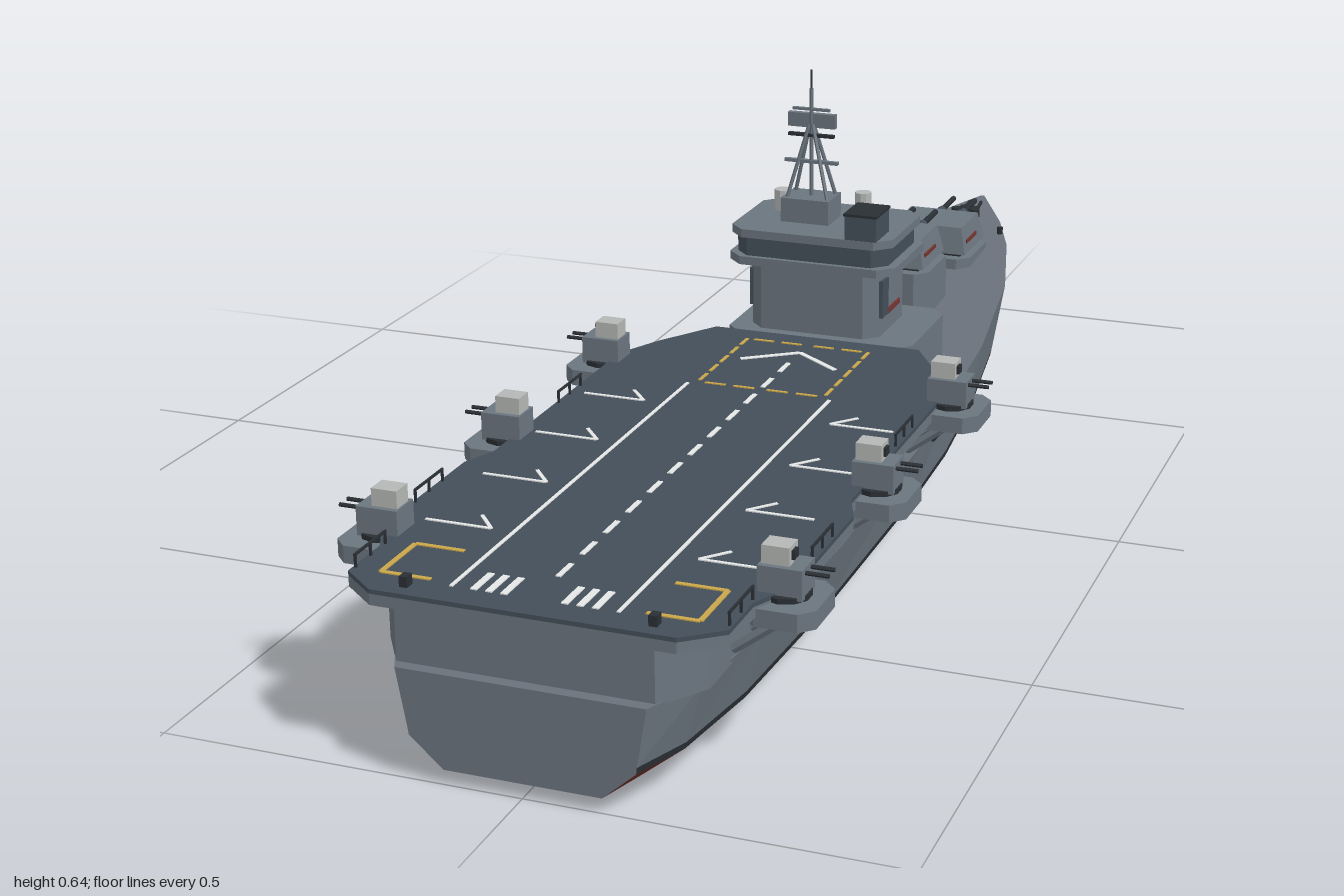
import * as THREE from 'three';

const mat = (name, color) => {
  const m = new THREE.MeshStandardMaterial({ color, flatShading: true });
  m.name = name;
  return m;
};

export function createModel() {
  const M = {
    grey: mat('hull grey', 0x6b757f), deck: mat('weather deck grey', 0x69717a),
    dark: mat('flight deck slate', 0x434e59), red: mat('antifouling red', 0x74342f),
    black: mat('fittings black', 0x2a2f34), light: mat('pale grey', 0xb4b7b5),
    white: mat('marking white', 0xe6e8e8), yellow: mat('marking yellow', 0xc9a64a),
  };
  const ship = new THREE.Group();
  ship.name = 'carrier';

  const add = (name, geo, m, parent = ship) => {
    const mesh = new THREE.Mesh(geo, m);
    mesh.name = name;
    parent.add(mesh);
    return mesh;
  };
  const box = (name, m, x, y, z, w, h, d, parent) => {
    const b = add(name, new THREE.BoxGeometry(w, h, d), m, parent);
    b.position.set(x, y, z);
    return b;
  };
  const cyl = (name, m, x, y, z, r, h, parent, sides = 10) => {
    const c = add(name, new THREE.CylinderGeometry(r, r, h, sides), m, parent);
    c.position.set(x, y, z);
    return c;
  };
  const bar = (name, m, a, b, r, parent) => {
    const p = new THREE.Vector3(...a), q = new THREE.Vector3(...b);
    const c = add(name, new THREE.CylinderGeometry(r, r, p.distanceTo(q), 6), m, parent);
    c.position.copy(p).lerp(q, 0.5);
    c.quaternion.setFromUnitVectors(new THREE.Vector3(0, 1, 0), q.sub(p).normalize());
    return c;
  };
  // Vertical prism from an x, z outline
  const prism = (name, m, outline, y0, y1, parent) => {
    const shape = new THREE.Shape(outline.map(([x, z]) => new THREE.Vector2(x, -z)));
    const geo = new THREE.ExtrudeGeometry(shape, { depth: y1 - y0, bevelEnabled: false });
    return add(name, geo.rotateX(-Math.PI / 2).translate(0, y0, 0), m, parent);
  };
  const mirrored = half => [...half, ...half.map(([x, z]) => [-x, z]).reverse()];
  const chamfered = (x0, x1, z0, z1, c) => [[x0 + c, z0], [x1 - c, z0], [x1, z0 + c], [x1, z1 - c],
    [x1 - c, z1], [x0 + c, z1], [x0, z1 - c], [x0, z0 + c]];
  // Box with a narrower top
  const taper = (name, m, x, y, z, w, h, d, s, parent) => {
    const geo = new THREE.BoxGeometry(w, h, d), p = geo.attributes.position;
    for (let i = 0; i < p.count; i++) {
      if (p.getY(i) > 0) p.setXYZ(i, p.getX(i) * s, p.getY(i), p.getZ(i) * s);
    }
    geo.computeVertexNormals();
    const t = add(name, geo, m, parent);
    t.position.set(x, y, z);
    return t;
  };

  // Hull stations: z, deck half width, deck y, waterline half width, keel half width, keel y
  const stations = [
    [1, 0.165, 0.148, 0.15, 0.105, 0.02], [0.92, 0.205, 0.151, 0.18, 0.12, 0.012],
    [0.77, 0.225, 0.155, 0.2, 0.14, 0], [0.5, 0.235, 0.16, 0.21, 0.145, 0],
    [0.1, 0.228, 0.163, 0.208, 0.145, 0], [-0.1, 0.213, 0.168, 0.2, 0.14, 0],
    [-0.3, 0.2, 0.175, 0.18, 0.122, 0], [-0.58, 0.16, 0.187, 0.137, 0.085, 0],
    [-0.77, 0.11, 0.199, 0.088, 0.045, 0.002], [-0.88, 0.067, 0.207, 0.05, 0.02, 0.006],
    [-1, 0.003, 0.218, 0.003, 0.002, 0.04],
  ];
  const rings = stations.map(([z, d, dy, w, k, ky]) => {
    const half = [[k, ky], [w, 0.06], [w + (d - w) * 0.08, 0.069], [d, dy]];
    return mirrored(half).map(([x, y]) => [x, y, z]);
  });
  const hullParts = { red: [], black: [], grey: [], deck: [] };
  ['red', 'black', 'grey', 'deck', 'grey', 'black', 'red', 'red'].forEach((key, r) => {
    const n = (r + 1) % 8;
    for (let i = 0; i + 1 < rings.length; i++) {
      const a = rings[i][r], b = rings[i + 1][r], c = rings[i + 1][n], d = rings[i][n];
      hullParts[key].push(a, b, c, a, c, d);
    }
  });
  const bow = rings[rings.length - 1];
  for (let i = 1; i < 7; i++) {
    hullParts.grey.push(rings[0][0], rings[0][i], rings[0][i + 1]);
    hullParts.grey.push(bow[0], bow[i + 1], bow[i]);
  }
  const hullNames = { red: 'lowerHull', black: 'waterlineStripe', grey: 'hullSides', deck: 'foredeck' };
  for (const key in hullParts) {
    const geo = new THREE.BufferGeometry();
    geo.setAttribute('position', new THREE.Float32BufferAttribute(hullParts[key].flat(), 3));
    geo.computeVertexNormals();
    add(hullNames[key], geo, M[key]);
  }

  // Hangar and flight deck
  prism('hangar', M.grey, mirrored([[0.17, 0.985], [0.213, 0.92], [0.213, 0.06], [0.16, -0.055]]), 0.145, 0.222);
  const deckEdge = mirrored([[0.2, 0.99], [0.25, 0.95], [0.25, 0.87], [0.278, 0.81], [0.278, 0.58],
    [0.258, 0.53], [0.258, 0.1], [0.225, 0.03], [0.165, -0.065]]);
  prism('flightDeckEdge', M.grey, deckEdge, 0.22, 0.235);
  prism('flightDeckSurface', M.dark, deckEdge, 0.235, 0.241);

  // Deck markings
  const marks = new THREE.Group();
  marks.name = 'deckMarkings';
  ship.add(marks);
  const line = (m, x0, z0, x1, z1, w = 0.005) => {
    const b = box('deckLine', m, (x0 + x1) / 2, 0.2415, (z0 + z1) / 2, w, 0.002, Math.hypot(x1 - x0, z1 - z0), marks);
    b.rotation.y = Math.atan2(x1 - x0, z1 - z0);
  };
  for (let i = 0; i < 12; i++) line(M.white, 0, 0.06 + i * 0.071, 0, 0.1 + i * 0.071, 0.007);
  for (const s of [-1, 1]) {
    line(M.white, s * 0.11, 0.19, s * 0.11, 0.95);
    line(M.white, 0, 0.01, s * 0.075, 0.065, 0.008);
    for (const x of [0.04, 0.06, 0.08]) line(M.white, s * x, 0.9, s * x, 0.95, 0.009);
    for (const z of [0.28, 0.445, 0.61, 0.775]) {
      line(M.white, s * 0.235, z, s * 0.142, z);
      line(M.white, s * 0.142, z, s * 0.172, z - 0.035);
    }
    line(M.yellow, s * 0.21, 0.85, s * 0.21, 0.94, 0.007);
    for (const z of [0.85, 0.94]) line(M.yellow, s * 0.21, z, s * 0.142, z, 0.007);
    // Dashed lift outline
    for (let i = 0; i < 5; i++) line(M.yellow, s * 0.098, -0.025 + i * 0.042, s * 0.098, 0.005 + i * 0.042);
    for (const z of [-0.025, 0.18]) for (const x of [0.01, 0.055]) line(M.yellow, s * x, z, s * (x + 0.032), z);
  }

  // Side gun platforms with twin mounts and struts
  for (const s of [-1, 1]) {
    for (const z of [0.12, 0.46, 0.815]) {
      const g = new THREE.Group();
      g.name = 'sideGun';
      g.position.z = z;
      ship.add(g);
      prism('gunPlatform', M.grey, chamfered(s > 0 ? 0.23 : -0.322, s > 0 ? 0.322 : -0.23, -0.052, 0.052, 0.018), 0.208, 0.232, g);
      cyl('gunRing', M.black, s * 0.272, 0.235, 0, 0.032, 0.008, g);
      box('gunMount', M.grey, s * 0.271, 0.255, 0, 0.058, 0.04, 0.045, g);
      box('gunHood', M.light, s * 0.263, 0.286, 0, 0.036, 0.026, 0.03, g);
      box('hoodSight', M.black, s * 0.283, 0.287, 0, 0.004, 0.012, 0.014, g);
      for (const dz of [-0.01, 0.01]) {
        bar('gunBarrel', M.black, [s * 0.295, 0.268, dz], [s * 0.33, 0.268, dz], 0.0028, g);
      }
      for (const dz of [-0.032, 0.032]) {
        bar('platformStrut', M.grey, [s * 0.215, 0.165, dz], [s * 0.275, 0.21, dz], 0.007, g);
      }
    }
    // Edge rails, deck lights and hull openings
    for (const [z, x] of [[0.9, 0.246], [0.69, 0.274], [0.29, 0.254]]) {
      box('railTop', M.black, s * x, 0.258, z, 0.003, 0.003, 0.08);
      for (const dz of [-0.038, 0, 0.038]) box('railPost', M.black, s * x, 0.249, z + dz, 0.003, 0.018, 0.003);
    }
    box('sternLight', M.black, s * 0.163, 0.248, 0.965, 0.011, 0.014, 0.014);
    for (const [z, x] of [[0.3, 0.228], [0.02, 0.216], [-0.2, 0.2]]) {
      box('hullOpening', M.black, s * x, 0.14, z, 0.012, 0.009, 0.03);
    }
    for (const z of [0.64, 0.29]) box('deckBracket', M.dark, s * 0.228, 0.205, z, 0.036, 0.032, 0.03);
  }

  // Island tower
  const island = new THREE.Group();
  island.name = 'islandTower';
  ship.add(island);
  prism('islandBase', M.grey, chamfered(-0.15, 0.15, -0.268, -0.058, 0.025), 0.15, 0.24, island);
  prism('towerBody', M.grey, chamfered(-0.12, 0.09, -0.24, -0.085, 0.022), 0.24, 0.352, island);
  prism('bridgeFloor', M.grey, chamfered(-0.149, 0.121, -0.252, -0.062, 0.024), 0.348, 0.361, island);
  prism('bridgeWindows', M.dark, chamfered(-0.138, 0.107, -0.243, -0.07, 0.022), 0.361, 0.391, island);
  prism('bridgeRoof', M.grey, chamfered(-0.146, 0.115, -0.25, -0.064, 0.024), 0.391, 0.404, island);
  for (const [s, x] of [[-1, -0.12], [1, 0.09]]) {
    box('sideLocker', M.dark, x, 0.3, -0.12, 0.008, 0.06, 0.03, island);
    box('towerStripe', M.red, x + s * 0.001, 0.272, -0.168, 0.004, 0.008, 0.06, island);
  }
  box('mastHouse', M.grey, -0.041, 0.423, -0.155, 0.078, 0.038, 0.06, island);
  box('directorHouse', M.dark, 0.07, 0.423, -0.097, 0.05, 0.038, 0.065, island);
  box('directorRoof', M.black, 0.07, 0.443, -0.097, 0.053, 0.004, 0.068, island);
  for (const [x, z] of [[-0.1, -0.19], [0.025, -0.215]]) cyl('lookoutDrum', M.light, x, 0.42, z, 0.013, 0.034, island);

  // Lattice mast with radar
  const mast = new THREE.Group();
  mast.name = 'mast';
  mast.position.set(-0.04, 0, -0.155);
  island.add(mast);
  for (const s of [-1, 1]) {
    for (const t of [-1, 1]) bar('mastLeg', M.grey, [s * 0.033, 0.44, t * 0.02], [s * 0.003, 0.555, t * 0.002], 0.003, mast);
  }
  bar('mastPole', M.grey, [0, 0.44, 0], [0, 0.612, 0], 0.003, mast);
  bar('mastTip', M.black, [0, 0.61, 0], [0, 0.641, 0], 0.0015, mast);
  box('lowerYard', M.grey, 0, 0.496, 0, 0.087, 0.005, 0.007, mast);
  box('upperYard', M.black, 0, 0.538, 0, 0.074, 0.005, 0.007, mast);
  box('radarPanel', M.grey, 0, 0.561, -0.004, 0.077, 0.022, 0.01, mast);
  box('topYard', M.grey, 0, 0.579, 0, 0.06, 0.004, 0.006, mast);

  // Forward main gun turrets: z, base y, turret floor y, barrel height
  for (const [z, y0, y1, tall] of [[-0.45, 0.17, 0.255, 0.05], [-0.698, 0.185, 0.208, 0.05]]) {
    const g = new THREE.Group();
    g.name = 'mainTurret';
    g.position.z = z;
    ship.add(g);
    prism('turretBase', M.grey, chamfered(-0.078, 0.078, -0.07, 0.07, 0.02), y0, y1, g);
    box('turretGap', M.black, 0, y1 + 0.002, 0, 0.12, 0.006, 0.1, g);
    taper('turretHouse', M.grey, 0, y1 + 0.004 + tall / 2, 0, 0.142, tall - 0.004, 0.12, 0.86, g);
    for (const s of [-1, 1]) {
      box('turretStripe', M.red, s * 0.067, y1 + 0.025, 0.01, 0.004, 0.006, 0.06, g);
      bar('barrelSleeve', M.dark, [s * 0.02, y1 + 0.032, -0.05], [s * 0.02, y1 + 0.034, -0.105], 0.0085, g);
      bar('mainBarrel', M.black, [s * 0.02, y1 + 0.033, -0.05], [s * 0.02, y1 + 0.036, -0.178], 0.005, g);
    }
  }

  // Bow fittings
  for (const s of [-1, 1]) {
    cyl('bollard', M.black, s * 0.083, 0.207, -0.822, 0.005, 0.016);
    cyl('capstan', M.black, s * 0.017, 0.216, -0.885, 0.009, 0.018);
    bar('anchorChain', M.black, [s * 0.016, 0.213, -0.885], [s * 0.01, 0.219, -0.955], 0.003);
  }
  box('windlass', M.black, 0, 0.218, -0.9, 0.03, 0.012, 0.018);

  return ship;
}
